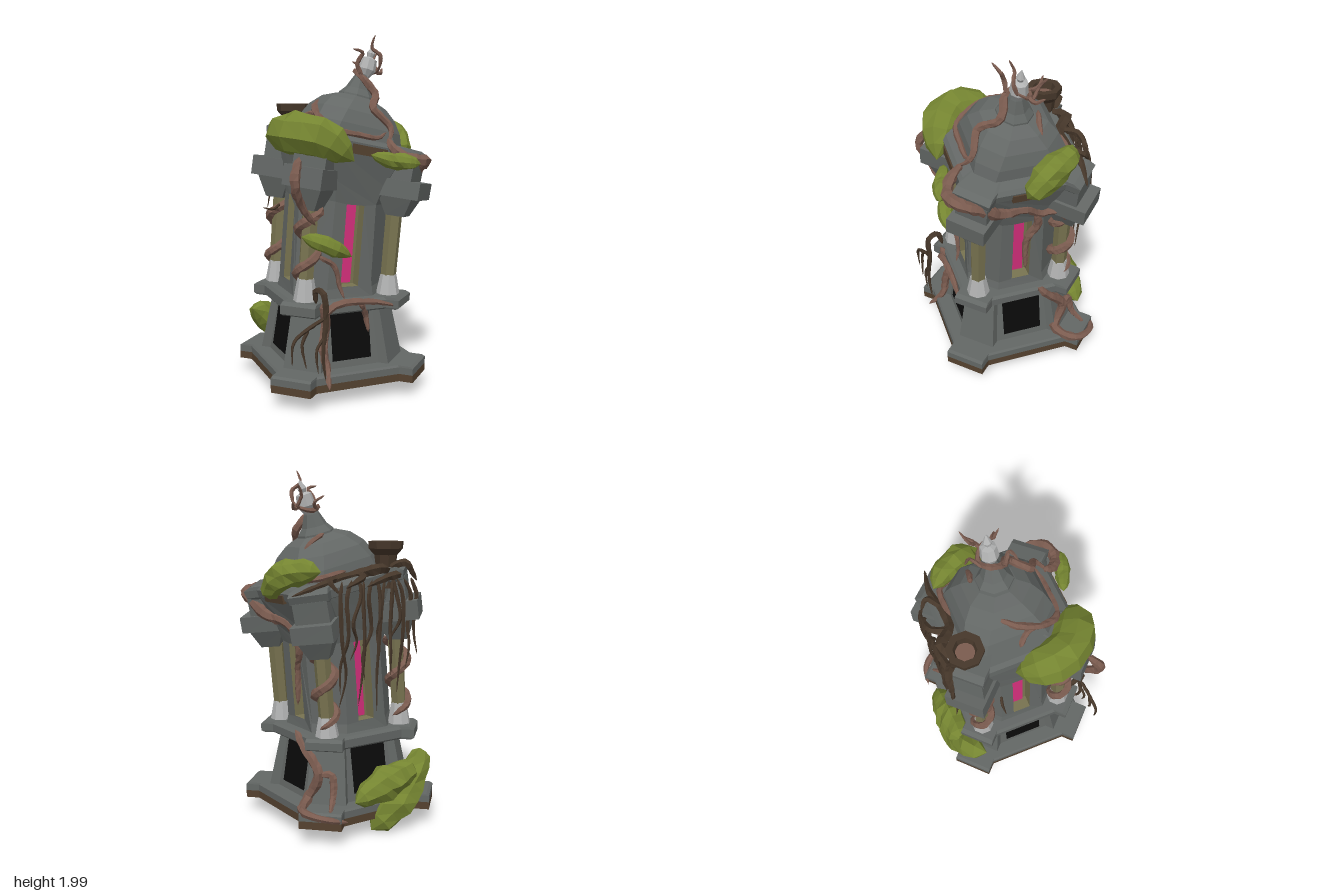
import * as THREE from 'three';

const mat = (name, color, side = THREE.DoubleSide) => new THREE.MeshStandardMaterial({ name, color, side });
const V = (x, y, z) => new THREE.Vector3(x, y, z);
const lerpTable = (table, y, c) => {
  for (let i = 0; i < table.length - 1; i++) {
    const [a, b] = [table[i], table[i + 1]];
    if (y <= b[0]) return a[c] + (b[c] - a[c]) * Math.max(0, (y - a[0]) / (b[0] - a[0]));
  }
  return table[table.length - 1][c];
};

export function createModel() {
  const root = new THREE.Group();
  root.name = 'overgrownTower';
  const stone = mat('stone', 0x636765), pale = mat('paleStone', 0xb2b3b3), olive = mat('oliveStone', 0x787350);
  const earth = mat('earthBrown', 0x54412f), pink = mat('pinkGlass', 0xd42f7c), black = mat('blackOpening', 0x0a0a0a);
  const moss = mat('moss', 0x758531), vineMat = mat('vine', 0x7a5b4f), bark = mat('darkBark', 0x46372a);

  // The tower leans further towards its left the higher it gets
  const bendPoint = (p) => {
    const t = Math.max(0, p.y - 0.5);
    return V(p.x - 0.031 + 0.115 * t * t, p.y - p.x * 0.23 * t, p.z);
  };
  const add = (name, geo, material, bend = true) => {
    const g = geo.index ? geo.toNonIndexed() : geo;
    if (bend) {
      const pos = g.attributes.position, v = V(0, 0, 0);
      for (let i = 0; i < pos.count; i++) {
        const b = bendPoint(v.fromBufferAttribute(pos, i));
        pos.setXYZ(i, b.x, b.y, b.z);
      }
    }
    g.computeVertexNormals();
    const mesh = new THREE.Mesh(g, material);
    mesh.name = name;
    root.add(mesh);
  };
  const fromTriangles = (pts) => new THREE.BufferGeometry().setFromPoints(pts);
  const quad = (out, b0, b1, t0, t1) => out.push(b0, t0, b1, b1, t0, t1);

  // Square outline with a block jutting from each corner: side at a, block corners at (p,q) and (q,p)
  const outline = ([y, a, p, q]) => {
    const s = q - (p - a), pts = [];
    for (let k = 0; k < 4; k++)
      for (const [x, z] of [[a, s], [p, q], [q, p], [s, a]])
        pts.push(V(x, y, z).applyAxisAngle(V(0, 1, 0), -k * Math.PI / 2));
    return pts;
  };
  const loft = (name, levels, material) => {
    const rings = levels.map(outline), out = [];
    for (let l = 0; l < rings.length - 1; l++)
      for (let i = 0; i < 16; i++) {
        const j = (i + 1) % 16;
        quad(out, rings[l][i], rings[l][j], rings[l + 1][i], rings[l + 1][j]);
      }
    add(name, fromTriangles(out), material);
  };

  // Plinth (open below), lower storey, ledge and cornice
  loft('plinthEdge', [[0.1, 0.41, 0.465, 0.3], [0.142, 0.41, 0.465, 0.3]], earth);
  loft('plinth', [[0.142, 0.41, 0.465, 0.3], [0.18, 0.41, 0.465, 0.3], [0.19, 0.4, 0.452, 0.29], [0.19, 0.32, 0.36, 0.2]], stone);
  loft('lowerStorey', [[0.19, 0.32, 0.36, 0.2], [0.5, 0.27, 0.3, 0.17]], stone);
  loft('ledge', [[0.5, 0, 0, 0], [0.5, 0.33, 0.375, 0.235], [0.51, 0.34, 0.39, 0.245], [0.555, 0.34, 0.39, 0.245],
    [0.57, 0.325, 0.37, 0.23], [0.57, 0, 0, 0]], stone);
  loft('cornice', [[1.34, 0.29, 0.32, 0.2], [1.365, 0.335, 0.385, 0.24], [1.41, 0.34, 0.395, 0.245],
    [1.43, 0.32, 0.365, 0.22], [1.44, 0.22, 0.24, 0.14]], stone);

  // Upper storey: flaring walls with slit windows, columns and stepped capitals
  const wall = [[0.56, 0.28, 0.14], [0.62, 0.27, 0.13], [1.09, 0.27, 0.12], [1.2, 0.29, 0.14], [1.37, 0.33, 0.2]];
  const rectPath = (path, w, y0, y1) => {
    path.moveTo(-w, y0); path.lineTo(w, y0); path.lineTo(w, y1); path.lineTo(-w, y1); path.closePath();
    return path;
  };
  const setZ = (geo, rule) => {
    const pos = geo.attributes.position;
    for (let i = 0; i < pos.count; i++) pos.setZ(i, rule(pos.getY(i)));
    return geo;
  };
  for (let k = 0; k < 4; k++) {
    const turn = k * Math.PI / 2, diag = turn + Math.PI / 4;
    const face = new THREE.Shape([...wall.map(([y, , w]) => new THREE.Vector2(w, y)),
      ...[...wall].reverse().map(([y, , w]) => new THREE.Vector2(-w, y))]);
    face.holes.push(rectPath(new THREE.Path(), 0.052, 0.63, 1.08));
    add('wallFace', setZ(new THREE.ShapeGeometry(face), (y) => lerpTable(wall, y, 1)).rotateY(turn), stone);

    const corner = [];
    for (let l = 0; l < wall.length - 1; l++) {
      const [[y0, a0, w0], [y1, a1, w1]] = [wall[l], wall[l + 1]];
      quad(corner, V(a0, y0, w0), V(w0, y0, a0), V(a1, y1, w1), V(w1, y1, a1));
    }
    add('wallCorner', fromTriangles(corner).rotateY(turn), stone);

    // Slit recess is a box with its front face left out
    const recess = new THREE.BoxGeometry(0.104, 0.45, 0.07).translate(0, 0.855, 0.235);
    recess.setIndex([...recess.index.array].filter((_, i) => i < 24 || i >= 30));
    add('slitRecess', recess.rotateY(turn), olive);
    add('slitGlass', new THREE.BoxGeometry(0.072, 0.435, 0.008).translate(-0.006, 0.857, 0.208).rotateY(turn), pink);

    for (const off of [0.004, -0.004]) {
      const opening = new THREE.ShapeGeometry(rectPath(new THREE.Shape(), 0.115, 0.23, 0.488));
      add('lowerOpening', setZ(opening, (y) => 0.32 - (y - 0.19) * 0.161 + off).rotateY(turn), black);
    }

    const post = (name, rt, rb, y0, y1, n, m, r = 0.35) => add(name,
      new THREE.CylinderGeometry(rt, rb, y1 - y0, n, 1, false, Math.PI / n).translate(0, (y0 + y1) / 2, r).rotateY(diag), m);
    post('columnBase', 0.045, 0.066, 0.57, 0.685, 8, pale);
    post('column', 0.046, 0.044, 0.68, 1.05, 6, olive);
    post('capitalNeck', 0.135, 0.075, 1.04, 1.15, 4, stone, 0.37);
    const block = (w, y0, y1, r0, r1) => add('capitalBlock',
      new THREE.BoxGeometry(w, y1 - y0, r1 - r0).translate(0, (y0 + y1) / 2, (r0 + r1) / 2).rotateY(diag), stone);
    block(0.22, 1.15, 1.25, 0.27, 0.505);
    block(0.185, 1.25, 1.37, 0.27, 0.445);
  }
  for (const turn of [0, Math.PI / 2])
    add('corniceInset', new THREE.BoxGeometry(0.2, 0.05, 0.03).translate(0, 1.375, 0.331).rotateY(turn), earth);

  // Dome with clipped corners that rounds off towards the top
  loft('dome', [[1.4, 0.258, 0.172], [1.43, 0.26, 0.172], [1.5, 0.247, 0.15], [1.57, 0.215, 0.115],
    [1.625, 0.165, 0.075], [1.655, 0.1, 0.041], [1.665, 0, 0]].map(([y, a, q]) => [y, a, a, q]), stone);

  // Spire and finial
  const lathe = (name, pts, m, x = 0) => add(name,
    new THREE.LatheGeometry(pts.map(([r, y]) => new THREE.Vector2(r, y)), 8, Math.PI / 8).translate(x, 0, 0), m);
  lathe('spire', [[0.105, 1.63], [0.1, 1.665], [0.07, 1.7], [0.042, 1.765], [0.028, 1.785], [0, 1.785]], stone, 0.005);
  lathe('finial', [[0.022, 1.77], [0.034, 1.79], [0.05, 1.815], [0.042, 1.875], [0.016, 1.885], [0.024, 1.905], [0.012, 1.93], [0, 1.955]], pale, 0.022);

  // Tapered, knobbly, round-ended limbs for vines, roots and moss
  let seed = 7;
  const rand = () => (seed = (seed * 16807) % 2147483647) / 2147483647;
  const limb = (name, pts, radii, m, { steps = pts.length * 4, sides = 6, rough = 0.15 } = {}) => {
    const curve = new THREE.CatmullRomCurve3(pts.map((p) => (p.isVector3 ? p : V(...p))));
    const g = new THREE.TubeGeometry(curve, steps, 1, sides), pos = g.attributes.position, v = V(0, 0, 0);
    for (let i = 0; i <= steps; i++) {
      const t = i / steps, c = curve.getPointAt(t), f = t * (radii.length - 1), k = Math.min(Math.floor(f), radii.length - 2);
      const r = (radii[k] + (radii[k + 1] - radii[k]) * (f - k)) * Math.sqrt(1 - (2 * t - 1) ** 6);
      const knobs = Array.from({ length: sides }, () => 1 + (rand() - 0.5) * 2 * rough);
      for (let j = 0; j <= sides; j++) {
        const n = i * (sides + 1) + j;
        v.fromBufferAttribute(pos, n).sub(c).multiplyScalar(r * knobs[j % sides]).add(c);
        pos.setXYZ(n, v.x, v.y, v.z);
      }
    }
    add(name, g, m, false);
  };

  // Moss clumps
  const clump = (pts, radii) => limb('mossClump', pts, radii, moss, { steps: 9, sides: 8, rough: 0.13 });
  clump([[-0.29, 1.38, -0.05], [-0.325, 1.46, 0.08], [-0.31, 1.465, 0.22], [-0.19, 1.44, 0.32], [-0.05, 1.33, 0.385]], [0.05, 0.105, 0.12, 0.11, 0.045]);
  clump([[0.28, 1.46, -0.29], [0.35, 1.46, -0.2], [0.415, 1.42, -0.08], [0.42, 1.31, 0.03]], [0.04, 0.075, 0.08, 0.05]);
  clump([[0.05, 1.36, 0.37], [0.15, 1.33, 0.41], [0.23, 1.32, 0.44], [0.3, 1.31, 0.46]], [0.02, 0.04, 0.045, 0.025]);
  clump([[-0.31, 0.93, 0.28], [-0.22, 0.9, 0.31], [-0.13, 0.86, 0.33], [-0.04, 0.81, 0.33]], [0.025, 0.045, 0.045, 0.015]);
  clump([[-0.42, 0.4, -0.28], [-0.34, 0.35, -0.35], [-0.18, 0.19, -0.39], [0.02, 0.03, -0.39]], [0.05, 0.09, 0.105, 0.08]);
  clump([[-0.28, 0.35, -0.39], [-0.08, 0.29, -0.4], [0.15, 0.22, -0.42]], [0.08, 0.1, 0.045]);

  // Vines over dome, walls and buttresses
  const vine = (r, ...pts) => limb('vine', pts, [r, r * 0.95, r * 0.55], vineMat);
  vine(0.024, [0.13, 1.78, 0.05], [0.2, 1.67, 0.1], [0.14, 1.6, 0.2], [0.22, 1.49, 0.26], [0.18, 1.42, 0.32]);
  vine(0.034, [0.18, 1.44, 0.3], [0.2, 1.37, 0.37], [0.28, 1.33, 0.415], [0.37, 1.32, 0.38], [0.4, 1.28, 0.27], [0.36, 1.2, 0.16],
    [0.325, 1.17, 0], [0.305, 1.11, -0.09], [0.33, 1.12, -0.18], [0.34, 1.04, -0.24]);
  vine(0.022, [-0.06, 1.64, -0.08], [-0.14, 1.6, 0.04], [-0.155, 1.55, 0.15], [-0.11, 1.49, 0.25], [0.03, 1.46, 0.27], [0.14, 1.44, 0.27], [0.2, 1.47, 0.25]);
  vine(0.016, [-0.22, 1.53, 0], [-0.17, 1.57, 0.06], [-0.155, 1.55, 0.14]);
  vine(0.018, [0.1, 1.46, -0.26], [0.29, 1.42, -0.25], [0.315, 1.42, -0.1], [0.3, 1.49, 0]);
  vine(0.016, [0.15, 1.66, -0.12], [0.24, 1.59, -0.1], [0.32, 1.43, -0.11]);
  vine(0.024, [0.31, 1.15, -0.06], [0.29, 1.02, -0.08], [0.265, 0.92, -0.03], [0.265, 0.7, -0.02]);
  vine(0.03, [0.32, 0.58, -0.08], [0.31, 0.5, -0.15], [0.28, 0.36, -0.26], [0.31, 0.22, -0.2], [0.41, 0.19, -0.3], [0.35, 0.17, -0.42], [0.22, 0.14, -0.46]);
  vine(0.022, [0.28, 0.36, -0.26], [0.23, 0.36, -0.31], [0.24, 0.25, -0.34], [0.3, 0.18, -0.4]);
  vine(0.02, [-0.22, 0.5, 0.37], [-0.15, 0.56, 0.37], [0.05, 0.56, 0.36], [0.22, 0.52, 0.36]);
  vine(0.018, [0, 0.56, 0.36], [0.05, 0.48, 0.31], [0.07, 0.37, 0.31]);
  vine(0.026, [-0.34, 1.36, 0.34], [-0.39, 1.24, 0.41], [-0.33, 1.1, 0.35], [-0.24, 0.99, 0.31]);
  vine(0.028, [-0.22, 0.58, 0.36], [-0.19, 0.45, 0.32], [-0.21, 0.32, 0.34], [-0.2, 0.21, 0.37], [-0.22, 0.13, 0.46]);
  vine(0.016, [-0.22, 0.82, 0.3], [-0.12, 0.75, 0.28], [-0.09, 0.64, 0.28], [-0.07, 0.57, 0.3]);
  for (const [sx, sz] of [[1, -1], [-1, -1], [-1, 1]])
    limb('columnVine', Array.from({ length: 14 }, (_, i) => {
      const a = i * 0.95;
      return bendPoint(V(sx * 0.247 + 0.056 * Math.cos(a), 1.06 - i * 0.034, sz * 0.247 + 0.056 * Math.sin(a)));
    }), [0.03, 0.027, 0.02], vineMat, { steps: 42 });

  // Hollow stump behind the dome, with branch and hanging roots
  const lathePts = [[0.07, 1.36], [0.055, 1.46], [0.065, 1.54], [0.097, 1.575], [0.1, 1.615], [0.062, 1.615], [0.045, 1.54]];
  add('stump', new THREE.LatheGeometry(lathePts.map((p) => new THREE.Vector2(...p)), 8, Math.PI / 8).translate(-0.155, 0, -0.27), bark, false);
  add('stumpHollow', new THREE.CylinderGeometry(0.054, 0.05, 0.01, 8).translate(-0.155, 1.57, -0.27), vineMat, false);
  const wood = (r, ...pts) => limb('root', pts, [r, r * 0.8, r * 0.3], bark, { sides: 5 });
  wood(0.034, [-0.16, 1.45, -0.29], [-0.04, 1.47, -0.36], [0.04, 1.44, -0.29], [0.15, 1.42, -0.28], [0.3, 1.39, -0.31], [0.46, 1.34, -0.285]);
  wood(0.024, [0.04, 1.44, -0.3], [0.08, 1.43, -0.38], [0.2, 1.38, -0.4]);
  wood(0.022, [0.18, 1.42, -0.28], [0.26, 1.41, -0.34], [0.23, 1.35, -0.39]);
  wood(0.028, [-0.14, 1.46, -0.32], [-0.2, 1.5, -0.38], [-0.28, 1.4, -0.39]);
  wood(0.03, [-0.18, 1.45, -0.27], [-0.24, 1.43, -0.19], [-0.27, 1.36, -0.25]);
  wood(0.026, [-0.2, 1.44, -0.36], [-0.06, 1.42, -0.385], [0.06, 1.38, -0.39]);
  for (let i = 0; i < 12; i++) {
    const x = -0.26 + i * 0.043, len = 0.25 + (i % 3) * 0.13 + rand() * 0.15, j = () => (rand() - 0.5) * 0.06;
    wood(0.013, [x + j(), 1.42, -0.38], [x + j(), 1.33, -0.395], [x + j(), 1.33 - len * 0.4, -0.39 + j() / 2],
      [x + j(), 1.33 - len * 0.7, -0.37 + j()], [x + j(), 1.33 - len, -0.37 + j()]);
  }

  // Dead roots at the front right corner
  wood(0.02, [-0.25, 0.57, 0.34], [-0.26, 0.65, 0.36], [-0.24, 0.65, 0.42], [-0.23, 0.5, 0.43], [-0.25, 0.32, 0.44], [-0.23, 0.17, 0.43]);
  wood(0.013, [-0.23, 0.52, 0.43], [-0.33, 0.48, 0.45], [-0.42, 0.42, 0.465], [-0.43, 0.29, 0.46]);
  wood(0.011, [-0.33, 0.48, 0.45], [-0.37, 0.4, 0.45], [-0.35, 0.26, 0.46]);
  wood(0.01, [-0.24, 0.42, 0.43], [-0.29, 0.35, 0.45], [-0.28, 0.22, 0.45]);
  wood(0.01, [-0.29, 1.05, -0.13], [-0.33, 1.02, -0.14], [-0.39, 1.03, -0.14]);

  // Twigs gripping the finial
  const twig = (r, ...pts) => limb('twig', pts, [r, r * 0.8, r * 0.4], vineMat, { sides: 5 });
  twig(0.02, [0.2, 1.67, 0.09], [0.14, 1.76, 0.06], [0.13, 1.8, -0.02], [0.19, 1.78, -0.06], [0.26, 1.8, -0.02], [0.26, 1.84, 0.04]);
  twig(0.015, [0.14, 1.77, 0.05], [0.11, 1.84, 0.05], [0.13, 1.9, 0.08], [0.06, 1.92, 0.1]);
  twig(0.013, [0.26, 1.82, 0.03], [0.25, 1.89, 0.05], [0.21, 1.93, 0.03], [0.215, 2.0, 0.06]);
  twig(0.014, [0.25, 1.8, -0.03], [0.3, 1.79, -0.05], [0.33, 1.82, -0.09]);
  twig(0.012, [0.28, 1.79, -0.04], [0.27, 1.86, -0.08], [0.31, 1.92, -0.11]);
  twig(0.012, [0.15, 1.78, -0.05], [0.2, 1.82, -0.1], [0.16, 1.86, -0.14]);
  return root;
}
